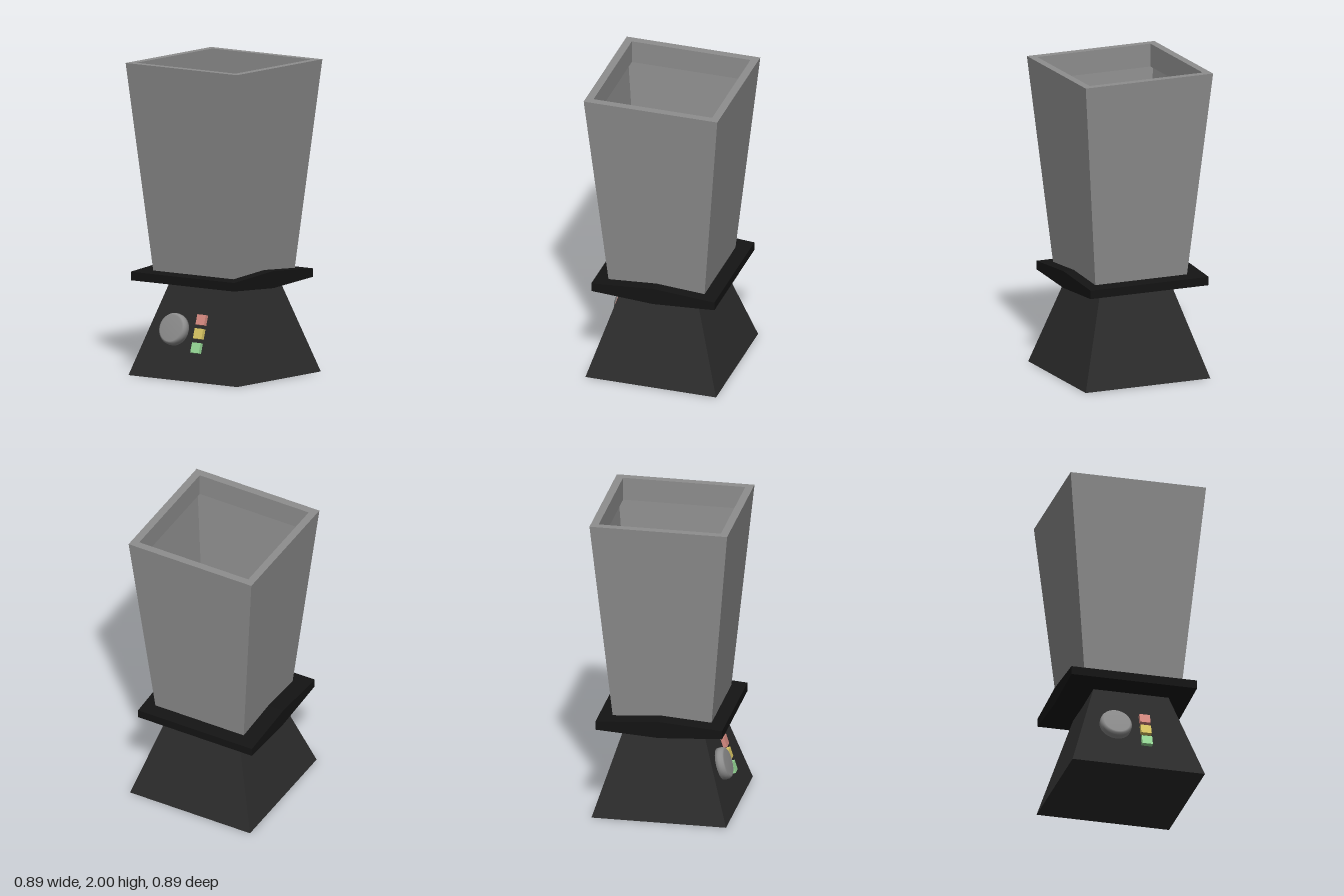
import * as THREE from 'three';

const mat = (color, flatShading = true, side = THREE.FrontSide) =>
  new THREE.MeshStandardMaterial({ color, flatShading, side });

// Square tapered block or shell, given its half widths at top and bottom
function frustum(top, bottom, y0, y1, open = false) {
  const g = new THREE.CylinderGeometry(top * Math.SQRT2, bottom * Math.SQRT2, y1 - y0, 4, 1, open);
  return g.rotateY(Math.PI / 4).translate(0, (y0 + y1) / 2, 0);
}

export function createModel() {
  const model = new THREE.Group();
  const add = (name, geometry, material, parent = model) => {
    const mesh = new THREE.Mesh(geometry, material);
    mesh.name = name;
    parent.add(mesh);
    return mesh;
  };
  const grey = mat(0x8e8e8e);
  const greyShell = mat(0x8e8e8e, true, THREE.DoubleSide);
  const greySmooth = mat(0x8e8e8e, false);

  // Motor base
  add('motorBase', frustum(0.239, 0.435, 0, 0.62), mat(0x2c2c2c)).position.x = 0.005;

  // Collar: flat hexagonal profile in z and y, extruded along x
  const profile = new THREE.Shape([
    [-0.41, 0.605], [0, 0.58], [0.41, 0.605], [0.41, 0.66], [0, 0.69], [-0.41, 0.66],
  ].map(([z, y]) => new THREE.Vector2(z, y)));
  const collar = new THREE.ExtrudeGeometry(profile, { depth: 0.825, bevelEnabled: false });
  collar.translate(0, 0, -0.4125).rotateY(Math.PI / 2);
  add('collar', collar, mat(0x141414)).position.x = -0.0175;

  // Jar: tapered wall, flat rim and a short lip hanging inside
  const jar = new THREE.Group();
  jar.name = 'jar';
  model.add(jar);
  add('jarWall', frustum(0.445, 0.32, 0.667, 2, true), greyShell, jar);
  const square = (Path, h) => new Path([[-h, -h], [h, -h], [h, h], [-h, h]]
    .map(([x, y]) => new THREE.Vector2(x, y)));
  const rim = square(THREE.Shape, 0.445);
  rim.holes.push(square(THREE.Path, 0.395));
  add('jarRim', new THREE.ShapeGeometry(rim).rotateX(-Math.PI / 2).translate(0, 2, 0), greyShell, jar);
  add('jarLip', frustum(0.395, 0.395, 1.85, 2, true), greyShell, jar);

  // Blade unit: stepped hub with four thin spikes
  const blades = new THREE.Group();
  blades.name = 'bladeUnit';
  blades.position.set(-0.0175, 0.68, 0.0125);
  model.add(blades);
  add('hubDisc', new THREE.CylinderGeometry(0.153, 0.153, 0.08, 32).translate(0, 0.02, 0), grey, blades);
  add('hub', new THREE.CylinderGeometry(0.077, 0.077, 0.13, 32).translate(0, 0.115, 0), grey, blades);
  const tips = [[0.02, -0.295], [-0.285, -0.04], [0.28, 0.075], [-0.05, 0.275]];
  const up = new THREE.Vector3(0, 1, 0);
  tips.forEach(([x, z], i) => {
    const tip = new THREE.Vector3(x, i % 2 ? 0.07 : 0.1, z);
    const length = tip.length();
    const spike = add('blade', new THREE.ConeGeometry(0.018, length, 12).translate(0, length / 2, 0), grey, blades);
    spike.position.y = 0.1;
    spike.quaternion.setFromUnitVectors(up, tip.normalize());
  });
  // Small cross on top of the hub
  for (const [angle, size] of [[0.08, 0.036], [1.65, 0.026]]) {
    const bar = add('hubCross', new THREE.SphereGeometry(1, 12, 8), greySmooth, blades);
    bar.scale.set(0.009, 0.009, size);
    bar.position.y = 0.18;
    bar.rotation.y = angle;
  }

  // Control panel lying on the sloping front face, local z pointing outwards
  const tilt = Math.atan(0.317);
  const panel = new THREE.Group();
  panel.name = 'controls';
  panel.position.set(0, 0.295, 0.342);
  panel.rotation.x = -tilt;
  model.add(panel);

  // Knob with rounded edges
  const knobProfile = [[0, -0.02], [0.1, -0.02], [0.104, 0.02], [0.103, 0.035], [0.096, 0.049], [0.085, 0.055], [0, 0.055]];
  const knob = new THREE.LatheGeometry(knobProfile.map(([r, y]) => new THREE.Vector2(r, y)), 32);
  add('knob', knob.rotateX(Math.PI / 2), greySmooth, panel).position.set(-0.125, 0.012, 0);

  // Push buttons
  [[0xd98c82, 0.09], [0xdcc864, 0], [0x98dc98, -0.092]].forEach(([color, y]) => {
    add('button', new THREE.BoxGeometry(0.068, 0.066, 0.05), mat(color), panel).position.set(0.073, y, 0);
  });

  return model;
}
